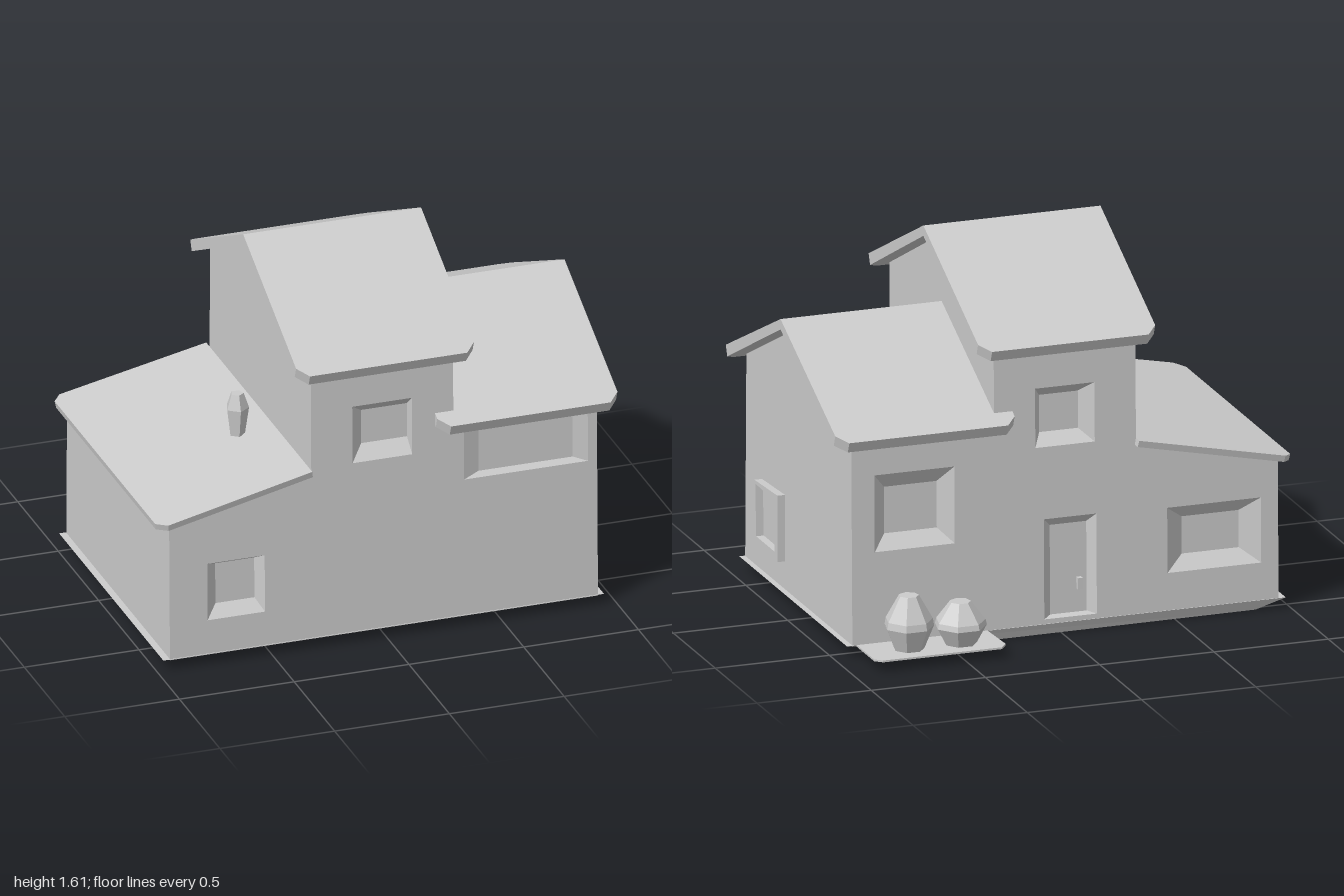
import * as THREE from 'three';

const plaster = new THREE.MeshStandardMaterial({ color: 0xcccccc, flatShading: true, side: THREE.DoubleSide });
plaster.name = 'plain grey';

const MID_Z = 0.085;                       // ridge line
const LEFT = -0.945, TOWER_L = -0.325, TOWER_R = 0.295, RIGHT = 0.92;
const frontZ = (y) => 0.727 - 0.016 * y;   // walls lean in slightly
const backZ = (y) => -0.557 + 0.016 * y;

const poly = (pts) => new THREE.Shape(pts.map(([x, y]) => new THREE.Vector2(x, y)));
const rect = (x0, x1, y0, y1) => [[x0, y0], [x1, y0], [x1, y1], [x0, y1]];

function add(group, name, geometry) {
  const mesh = new THREE.Mesh(geometry, plaster);
  mesh.name = name;
  group.add(mesh);
  return mesh;
}

// Solid between two rings of points; either cap may be left out
function loft(top, bottom, capTop = true, capBottom = true) {
  const n = top.length, index = [];
  for (let i = 0; i < n; i++) {
    const j = (i + 1) % n;
    index.push(i, n + i, n + j, i, n + j, j);
    if (i > 0 && i < n - 1) {
      if (capTop) index.push(0, i, i + 1);
      if (capBottom) index.push(n, n + i + 1, n + i);
    }
  }
  const g = new THREE.BufferGeometry();
  g.setAttribute('position', new THREE.Float32BufferAttribute([...top, ...bottom].flat(), 3));
  g.setIndex(index);
  const flat = g.toNonIndexed();
  flat.computeVertexNormals();
  return flat;
}

// Long wall with sunken openings: [name, outer rectangle, inner rectangle, depth]
function longWall(group, side, zAt, openings) {
  const dir = side === 'front' ? 1 : -1;
  const shape = poly([[LEFT, 0.045], [RIGHT, 0.045], [RIGHT, 0.95], [TOWER_R, 0.95], [TOWER_R, 1.27],
    [TOWER_L, 1.27], [TOWER_L, 0.79], [LEFT, 0.65]]);
  for (const [name, outer, inner, depth] of openings) {
    shape.holes.push(new THREE.Path(rect(...outer).map(([x, y]) => new THREE.Vector2(x, y))));
    const rim = rect(...outer).map(([x, y]) => [x, y, zAt(y)]);
    const pane = rect(...inner).map(([x, y]) => [x, y, zAt(y) - dir * depth]);
    if (dir < 0) { rim.reverse(); pane.reverse(); }
    add(group, name, loft(pane, rim, true, false));
  }
  const g = new THREE.ShapeGeometry(shape);
  const p = g.attributes.position;
  for (let i = 0; i < p.count; i++) p.setZ(i, zAt(p.getY(i)));
  if (dir < 0) {
    const a = g.index.array;
    for (let i = 0; i < a.length; i += 3) [a[i], a[i + 1]] = [a[i + 1], a[i]];
  }
  g.computeVertexNormals();
  add(group, side + 'Wall', g);
}

// End wall in the z-y plane, facing +x (dir 1) or -x (dir -1)
function endWall(group, name, x, y0, eave, peak, dir) {
  const pts = [[frontZ(y0), y0], [backZ(y0), y0], [backZ(eave), eave], [MID_Z, peak], [frontZ(eave), eave]];
  const g = new THREE.ShapeGeometry(poly(pts.map(([z, y]) => [-z * dir, y])));
  add(group, name, g.rotateY(dir * Math.PI / 2)).position.x = x;
}

// Gable roof: two sloping slabs with clipped eave corners
function gableRoof(group, name, x0, x1, ridge, drop) {
  const run = 0.7, clip = 0.045, thick = 0.045;
  const plan = [[x0, 0], [x0, run - clip], [x0 + clip, run], [x1 - clip, run], [x1, run - clip], [x1, 0]];
  for (const s of [1, -1]) {
    const ring = (inset, down) => plan.map(([x, d]) =>
      [x, ridge - drop * d / run - down, MID_Z + s * (d > 0 ? d - inset : 0)]);
    const top = ring(0, 0), bottom = ring(0.018, thick);
    if (s < 0) { top.reverse(); bottom.reverse(); }
    add(group, name + (s > 0 ? 'Front' : 'Back'), loft(top, bottom));
  }
}

// Faceted shrub with a flat top
function shrub(group, x, z, radius, height) {
  const profile = [[0.0, 0], [0.62, 0], [1, 0.42], [0.95, 0.55], [0.4, 1], [0, 1]]
    .map(([r, y]) => new THREE.Vector2(r * radius, y * height));
  add(group, 'shrub', new THREE.LatheGeometry(profile, 7)).position.set(x, 0.05, z);
}

export function createModel() {
  const house = new THREE.Group();
  house.name = 'house';

  // Walls with sunken windows and door
  longWall(house, 'front', frontZ, [
    ['towerWindow', [-0.145, 0.115, 0.81, 1.065], [-0.09, 0.11, 0.87, 1.02], 0.05],
    ['wingWindow', [0.34, 0.88, 0.66, 0.92], [0.41, 0.82, 0.68, 0.87], 0.02],
    ['leanToWindow', [-0.78, -0.53, 0.2, 0.455], [-0.73, -0.56, 0.25, 0.43], 0.045],
  ]);
  longWall(house, 'back', backZ, [
    ['towerBackWindow', [-0.145, 0.115, 0.81, 1.065], [-0.09, 0.08, 0.86, 1.02], 0.05],
    ['wingBackWindow', [0.47, 0.82, 0.44, 0.77], [0.53, 0.76, 0.5, 0.7], 0.05],
    ['leanToBackWindow', [-0.87, -0.46, 0.21, 0.49], [-0.79, -0.54, 0.27, 0.43], 0.05],
    ['door', [-0.15, 0.08, 0.07, 0.5], [-0.12, 0.04, 0.075, 0.46], 0.04],
  ]);
  endWall(house, 'wingGable', RIGHT, 0.045, 0.95, 1.24, 1);
  endWall(house, 'towerRightGable', TOWER_R, 0.7, 1.26, 1.58, 1);
  endWall(house, 'towerLeftGable', TOWER_L, 0.6, 1.26, 1.58, -1);
  endWall(house, 'leanToEnd', LEFT, 0.045, 0.65, 0.65, -1);

  // Door handle
  add(house, 'doorHandle', new THREE.BoxGeometry(0.02, 0.05, 0.025)).position.set(-0.085, 0.2, -0.525);

  // Roofs
  gableRoof(house, 'towerRoof', -0.4, 0.375, 1.61, 0.34);
  gableRoof(house, 'wingRoof', 0.215, 1, 1.275, 0.33);
  const leanTop = [[-1, 0.662, -0.545], [-1, 0.662, 0.7], [-0.96, 0.67, 0.748],
    [-0.325, 0.805, 0.727], [-0.325, 0.805, -0.585], [-0.965, 0.67, -0.585]];
  add(house, 'leanToRoof', loft(leanTop, leanTop.map(([x, y, z]) => [x + 0.005, y - 0.028, z * 0.99])));

  // Framed window on the wing gable
  const frame = poly([[-0.54, 0.17], [-0.25, 0.17], [-0.25, 0.457], [-0.525, 0.443]]);
  frame.holes.push(new THREE.Path([[-0.505, 0.205], [-0.288, 0.205], [-0.288, 0.42], [-0.515, 0.43]]
    .map(([x, y]) => new THREE.Vector2(x, y))));
  const frameGeo = new THREE.ExtrudeGeometry(frame, { depth: 0.033, bevelEnabled: false });
  add(house, 'sideWindowFrame', frameGeo.rotateY(Math.PI / 2)).position.x = RIGHT;

  // Five-sided chimney with a tapered cap
  const stack = [[0, 0], [0.033, 0], [0.05, 0.12], [0.028, 0.185], [0, 0.185]]
    .map(([r, y]) => new THREE.Vector2(r, y));
  add(house, 'chimney', new THREE.LatheGeometry(stack, 5)).position.set(-0.475, 0.775, 0.22);

  // Foundation with an uneven underside
  const baseTop = [[-0.975, 0.05, -0.56], [-0.975, 0.05, 0.73], [0.945, 0.05, 0.73], [0.945, 0.05, -0.56]];
  const baseLow = [[-0.85, 0.005, -0.54], [-0.85, 0.01, 0.6], [0.6, 0.012, 0.6], [0.6, 0.0, -0.54]];
  add(house, 'foundation', loft(baseTop, baseLow));

  // Planting bed and shrubs behind the wing
  const bed = [[0.33, 0.05, -0.54], [0.9, 0.05, -0.54], [0.9, 0.05, -0.76], [0.87, 0.05, -0.788],
    [0.35, 0.05, -0.788], [0.32, 0.05, -0.75]];
  add(house, 'plantingBed', loft(bed, bed.map(([x, y, z]) => [x, y - 0.008, z])));
  shrub(house, 0.49, -0.672, 0.11, 0.18);
  shrub(house, 0.715, -0.67, 0.105, 0.23);

  return house;
}
